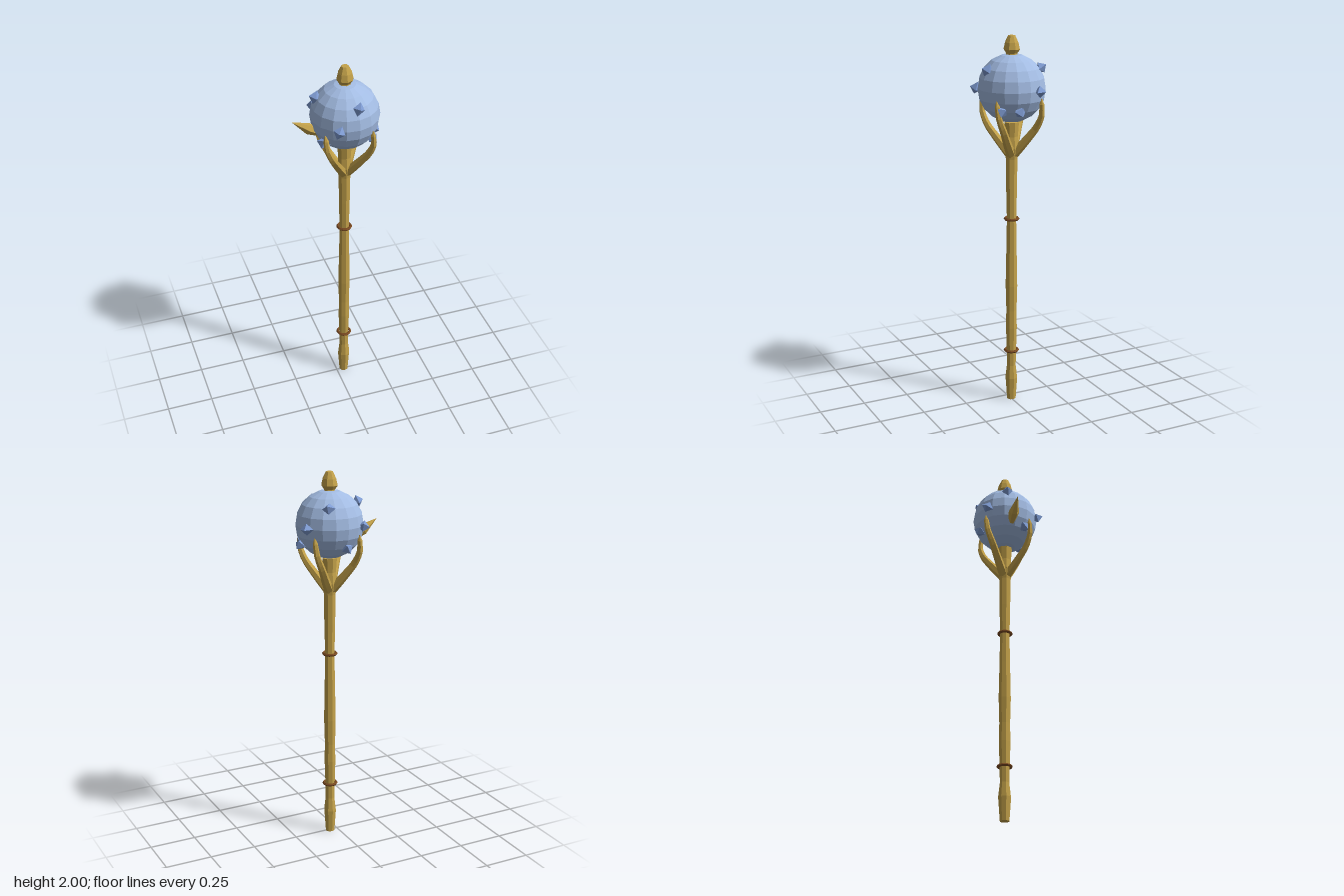
import * as THREE from 'three';

const mat = (color) => new THREE.MeshStandardMaterial({ color, flatShading: true });
const gold = mat(0xc4a24a);
const bronze = mat(0x7a4a22);
const orbBlue = mat(0xa3bce3);
const spikeBlue = mat(0x7f9cd3);
const UP = new THREE.Vector3(0, 1, 0);
const ORB_Y = 1.732;

// Surface of revolution from [radius, height] pairs, bottom to top
function lathe(profile, sides) {
  return new THREE.LatheGeometry(profile.map(([r, y]) => new THREE.Vector2(r, y)), sides);
}

// Tube along a curve, with its radius set by a function of t
function taperedTube(points, radiusAt, segments, sides) {
  const curve = new THREE.CatmullRomCurve3(points, false, 'catmullrom', 0.3);
  const geo = new THREE.TubeGeometry(curve, segments, 1, sides);
  const pos = geo.attributes.position;
  const v = new THREE.Vector3();
  for (let i = 0; i < pos.count; i++) {
    const t = Math.floor(i / (sides + 1)) / segments;
    const c = curve.getPointAt(t);
    v.fromBufferAttribute(pos, i).sub(c).multiplyScalar(radiusAt(t)).add(c);
    pos.setXYZ(i, v.x, v.y, v.z);
  }
  return geo;
}

export function createModel() {
  const model = new THREE.Group();
  model.name = 'maceStaff';
  const body = new THREE.Group();
  body.name = 'staffBody';
  body.position.set(0.043, 0, -0.004);
  model.add(body);

  const add = (name, geo, material, parent = body) => {
    const mesh = new THREE.Mesh(geo, material);
    mesh.name = name;
    parent.add(mesh);
    return mesh;
  };

  // Slightly uneven shaft with a swollen foot and a flared socket
  add('shaft', lathe([
    [0, 0], [0.025, 0], [0.034, 0.125], [0.025, 0.2], [0.027, 0.29], [0.031, 0.42],
    [0.029, 0.52], [0.033, 0.66], [0.029, 0.86], [0.026, 1.03], [0.03, 1.2],
    [0.032, 1.36], [0.04, 1.42], [0.034, 1.48], [0.04, 1.555], [0, 1.56],
  ], 8), gold);

  // Binding rings
  for (const y of [0.287, 1.035]) {
    const ring = add('bindingRing', new THREE.TorusGeometry(0.034, 0.008, 5, 12), bronze);
    ring.rotation.x = Math.PI / 2;
    ring.position.y = y;
  }

  // Faceted orb
  const orb = add('orb', new THREE.SphereGeometry(0.177, 16, 10), orbBlue);
  orb.position.y = ORB_Y;
  orb.rotation.y = 0.12;

  // Finial on top of the orb
  add('finial', lathe([
    [0, 1.885], [0.032, 1.89], [0.03, 1.91], [0.044, 1.93], [0.036, 1.965], [0.019, 2.0], [0, 2.0],
  ], 8), gold);

  // Four claws gripping the orb, each twisting slightly near its tip
  const clawPath = [[0.012, 1.385, 45], [0.06, 1.44, 45], [0.132, 1.53, 45], [0.166, 1.6, 49], [0.17, 1.69, 53]];
  const clawPoints = clawPath.map(([r, y, deg]) => {
    const a = THREE.MathUtils.degToRad(deg);
    return new THREE.Vector3(Math.cos(a) * r, y, Math.sin(a) * r);
  });
  const clawGeo = taperedTube(clawPoints, (t) => (t > 0.99 ? 0.002 : 0.026 - 0.014 * t), 12, 6);
  for (let i = 0; i < 4; i++) {
    add('claw', clawGeo, gold).rotation.y = i * Math.PI / 2;
  }

  // Thorn pointing out to the right side
  const thornBase = new THREE.Vector3(-0.13, 1.645, 0);
  const thornDir = new THREE.Vector3(-0.145, 0.09, 0);
  const length = thornDir.length();
  const thorn = add('thorn', lathe([[0, 0], [0.018, 0.01], [0.029, length * 0.42], [0, length]], 6), gold);
  thorn.position.copy(thornBase);
  thorn.quaternion.setFromUnitVectors(UP, thornDir.normalize());

  // Crystal spikes, placed by their direction from the orb's centre
  const spikes = new THREE.Group();
  spikes.name = 'crystalSpikes';
  spikes.position.y = ORB_Y;
  body.add(spikes);
  const crystal = new THREE.OctahedronGeometry(0.036);
  crystal.scale(1, 0.9, 0.85);
  [
    [-0.15, 0.11, -0.026], [0.022, 0.107, 0.152], [0.072, 0.108, -0.136],
    [-0.083, 0, 0.164], [0.166, 0, -0.076], [-0.128, 0, -0.134],
    [-0.143, -0.105, 0.078], [0.12, -0.108, 0.122], [0.16, -0.105, 0.03],
    [-0.025, -0.105, -0.155],
  ].forEach(([x, y, z], i) => {
    const dir = new THREE.Vector3(x, y, z).normalize();
    const spike = add('crystalSpike', crystal, spikeBlue, spikes);
    spike.position.copy(dir).multiplyScalar(0.183);
    spike.quaternion.setFromUnitVectors(UP, dir);
    spike.rotateY(i * 1.3);
    spike.rotateZ(0.3);
  });

  return model;
}
